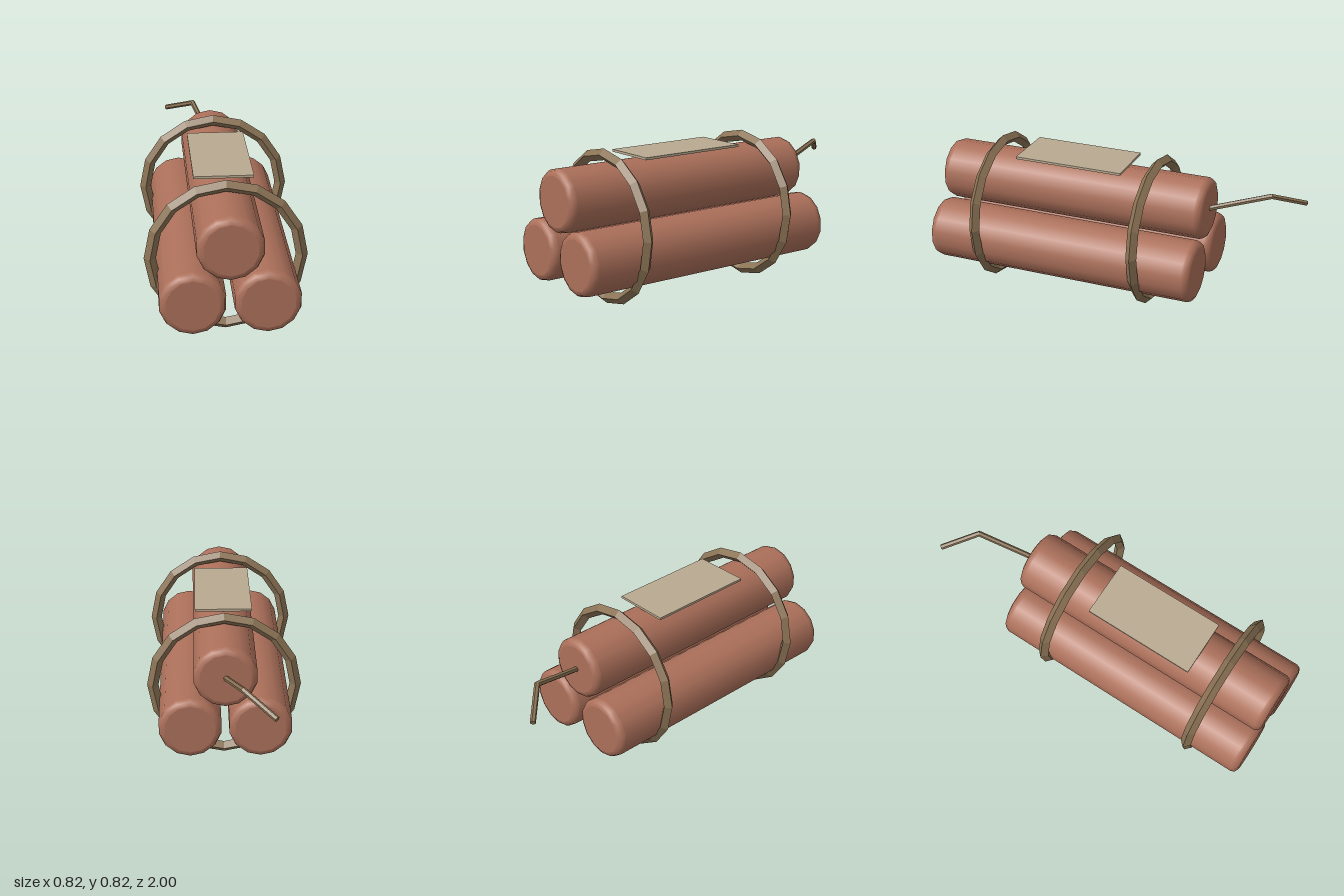
import * as THREE from 'three';

const mat = (name, color) => {
  const m = new THREE.MeshStandardMaterial({ color });
  m.name = name;
  return m;
};

export function createModel() {
  const group = new THREE.Group();
  const red = mat('clayRed', 0xac705a);
  const cord = mat('cordBrown', 0x8b7355);
  const cordFlat = cord;
  cordFlat.flatShading = true;
  const paper = mat('paperTan', 0xb9a990);

  const add = (name, geometry, material, x = 0, y = 0, z = 0) => {
    const mesh = new THREE.Mesh(geometry, material);
    mesh.name = name;
    mesh.position.set(x, y, z);
    group.add(mesh);
    return mesh;
  };

  // Three round sticks with softened ends
  const R = 0.167, H = 0.762, B = 0.03;
  const end = [
    [0, H], [R - B - 0.005, H], [R - B, H], [R - B * 0.3, H - B * 0.3], [R, H - B], [R, H - B - 0.01],
  ];
  const profile = [
    ...end.map(([r, h]) => new THREE.Vector2(r, -h)),
    ...end.slice().reverse().map(([r, h]) => new THREE.Vector2(r, h)),
  ];
  const stick = new THREE.LatheGeometry(profile, 14).rotateX(Math.PI / 2);
  add('topStick', stick, red, 0, 0.59, 0.237);
  add('leftStick', stick, red, 0.184, 0.3, 0.237);
  add('rightStick', stick, red, -0.184, 0.3, 0.237);

  // Two diamond-section binding hoops
  const hoop = new THREE.TorusGeometry(0.382, 0.0305, 4, 16);
  add('frontHoop', hoop, cordFlat, 0, 0.414, 0.695);
  add('backHoop', hoop, cordFlat, 0, 0.414, -0.222);

  // Paper label above the top stick
  add('label', new THREE.BoxGeometry(0.306, 0.013, 0.61), paper, 0, 0.776, 0.236);

  // Bent fuse: a two-part cylinder whose rings follow a mitred path
  const path = [[-0.232, 0.605, -0.989], [-0.078, 0.684, -0.836], [0, 0.59, -0.51]]
    .map((p) => new THREE.Vector3(...p));
  const d0 = path[1].clone().sub(path[0]).normalize();
  const d1 = path[2].clone().sub(path[1]).normalize();
  const tangents = [d0, d0.clone().add(d1).normalize(), d1];
  const side = d0.clone().cross(d1).normalize();
  const mitre = [1, 1 / tangents[1].dot(d0), 1];
  const fuse = new THREE.CylinderGeometry(0.015, 0.015, 2, 6, 2);
  const pos = fuse.attributes.position;
  for (let i = 0; i < pos.count; i++) {
    const k = Math.round(pos.getY(i)) + 1;
    const u = tangents[k].clone().cross(side);
    const v = path[k].clone()
      .addScaledVector(u, pos.getX(i) * mitre[k])
      .addScaledVector(side, pos.getZ(i));
    pos.setXYZ(i, v.x, v.y, v.z);
  }
  fuse.computeVertexNormals();
  add('fuse', fuse, cordFlat);

  return group;
}
